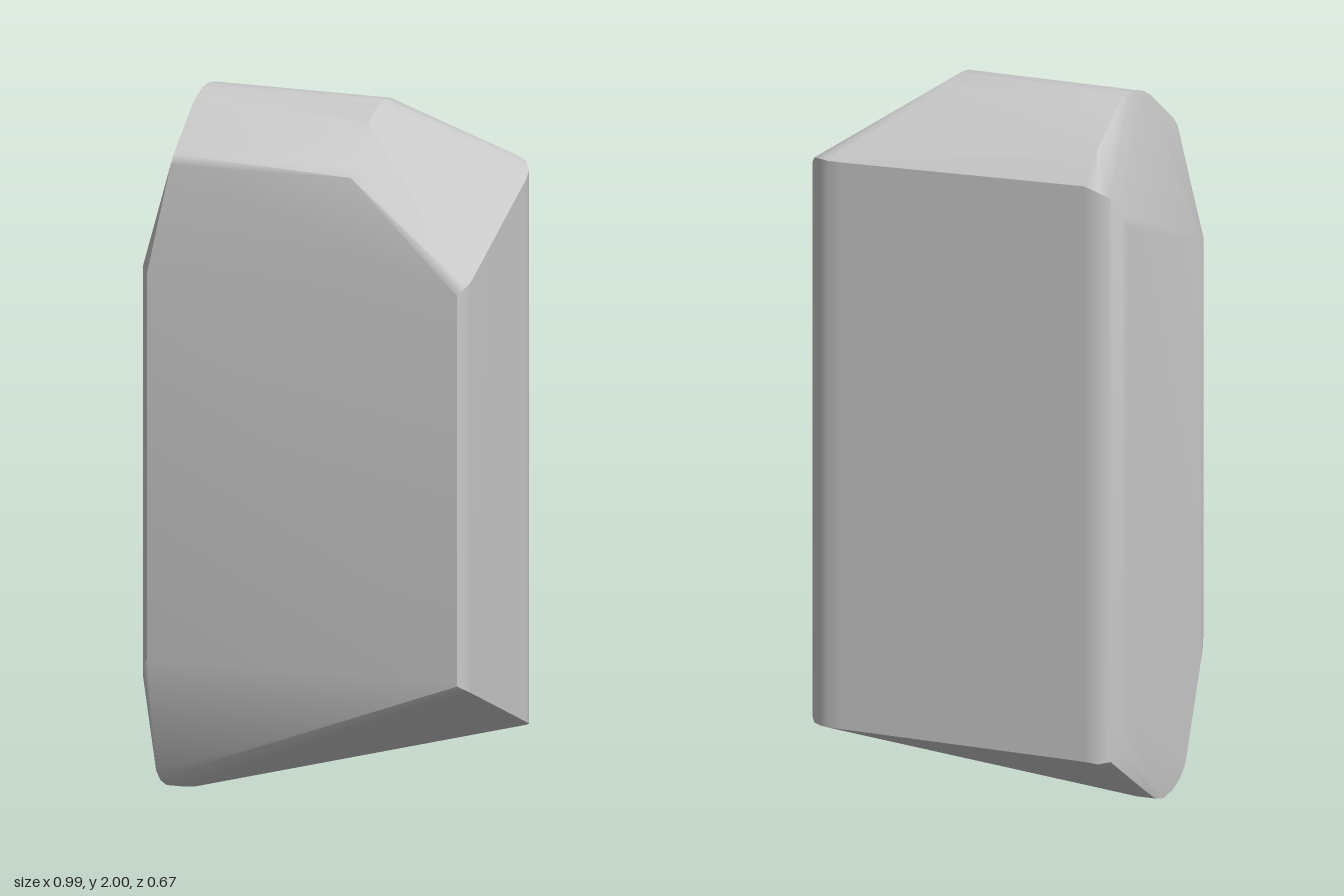
import * as THREE from 'three';
import { ConvexGeometry } from 'three/addons/geometries/ConvexGeometry.js';

// Area-weighted normals, kept sharp where faces meet at more than the given angle
function softenEdges(geometry, degrees) {
  const pos = geometry.attributes.position;
  const limit = Math.cos(THREE.MathUtils.degToRad(degrees));
  const faces = [];
  const byCorner = new Map();
  const corner = (i) => new THREE.Vector3().fromBufferAttribute(pos, i);
  const key = (v) => v.toArray().map((n) => n.toFixed(4)).join();
  for (let i = 0; i < pos.count; i += 3) {
    const [a, b, c] = [corner(i), corner(i + 1), corner(i + 2)];
    const area = b.clone().sub(a).cross(c.clone().sub(a));
    const face = { area, unit: area.clone().normalize() };
    faces.push(face);
    for (const v of [a, b, c]) {
      const k = key(v);
      if (!byCorner.has(k)) byCorner.set(k, []);
      byCorner.get(k).push(face);
    }
  }
  const normals = [];
  for (let i = 0; i < pos.count; i++) {
    const own = faces[Math.floor(i / 3)];
    const sum = new THREE.Vector3();
    for (const f of byCorner.get(key(corner(i)))) {
      if (f.unit.dot(own.unit) > limit) sum.add(f.area);
    }
    normals.push(...sum.normalize().toArray());
  }
  geometry.setAttribute('normal', new THREE.Float32BufferAttribute(normals, 3));
  return geometry;
}

export function createModel() {
  const stone = new THREE.MeshStandardMaterial({ color: 0xc9c9c9 });
  stone.name = 'stone grey';
  const points = [];
  const add = (...list) => list.forEach((p) => points.push(new THREE.Vector3(...p)));

  // Rounded upright corners: [x, z, bottom y, top y]
  const uprights = [
    [-0.495, -0.17, 0.28, 1.67], [-0.49, -0.205, 0.22, 1.72], [-0.475, -0.238, 0.17, 1.77],
    [-0.448, -0.262, 0.165, 1.79], [-0.41, -0.272, 0.17, 1.805],
    [0.33, -0.335, 0.18, 1.79], [0.37, -0.337, 0.18, 1.79], [0.4, -0.328, 0.18, 1.79],
    [0.43, -0.308, 0.18, 1.785], [0.448, -0.287, 0.19, 1.765], [0.456, -0.25, 0.205, 1.75],
    [0.492, 0.2, 0.4, 1.57], [0.489, 0.232, 0.415, 1.56], [0.475, 0.255, 0.43, 1.54],
    [-0.46, 0.27, 0.33, 1.54], [-0.455, 0.295, 0.37, 1.535], [-0.444, 0.318, 0.41, 1.53], [-0.425, 0.333, 0.43, 1.53],
  ];
  for (const [x, z, low, high] of uprights) add([x, low, z], [x, high, z]);

  // Rounded top ridge, from front brow to back, at its two ends
  const ridge = [[0.13, 1.965], [0.09, 1.985], [0.045, 1.998], [0, 2], [-0.04, 1.994], [-0.08, 1.975]];
  for (const [z, y] of ridge) {
    add([-0.38 + z * 0.07, y, z + 0.025], [0.135 + Math.max(z, 0) * 0.09, y, z - 0.015]);
  }
  add([-0.36, 1.865, 0.3], [-0.361, 1.84, 0.318], [0.153, 1.87, 0.235], [0.156, 1.845, 0.262]);
  add([-0.408, 1.885, -0.2]);

  // Rounded lowest tip
  for (const [z, y] of [[0.18, 0.07], [0.15, 0.035], [0.11, 0.012], [0.06, 0], [0.02, 0.008], [-0.02, 0.03]]) {
    add([-0.467, y, z], [-0.41, y, z - 0.005]);
  }

  const rock = new THREE.Mesh(softenEdges(new ConvexGeometry(points), 36), stone);
  rock.name = 'rock';
  const group = new THREE.Group();
  group.name = 'standingStone';
  group.add(rock);
  return group;
}
